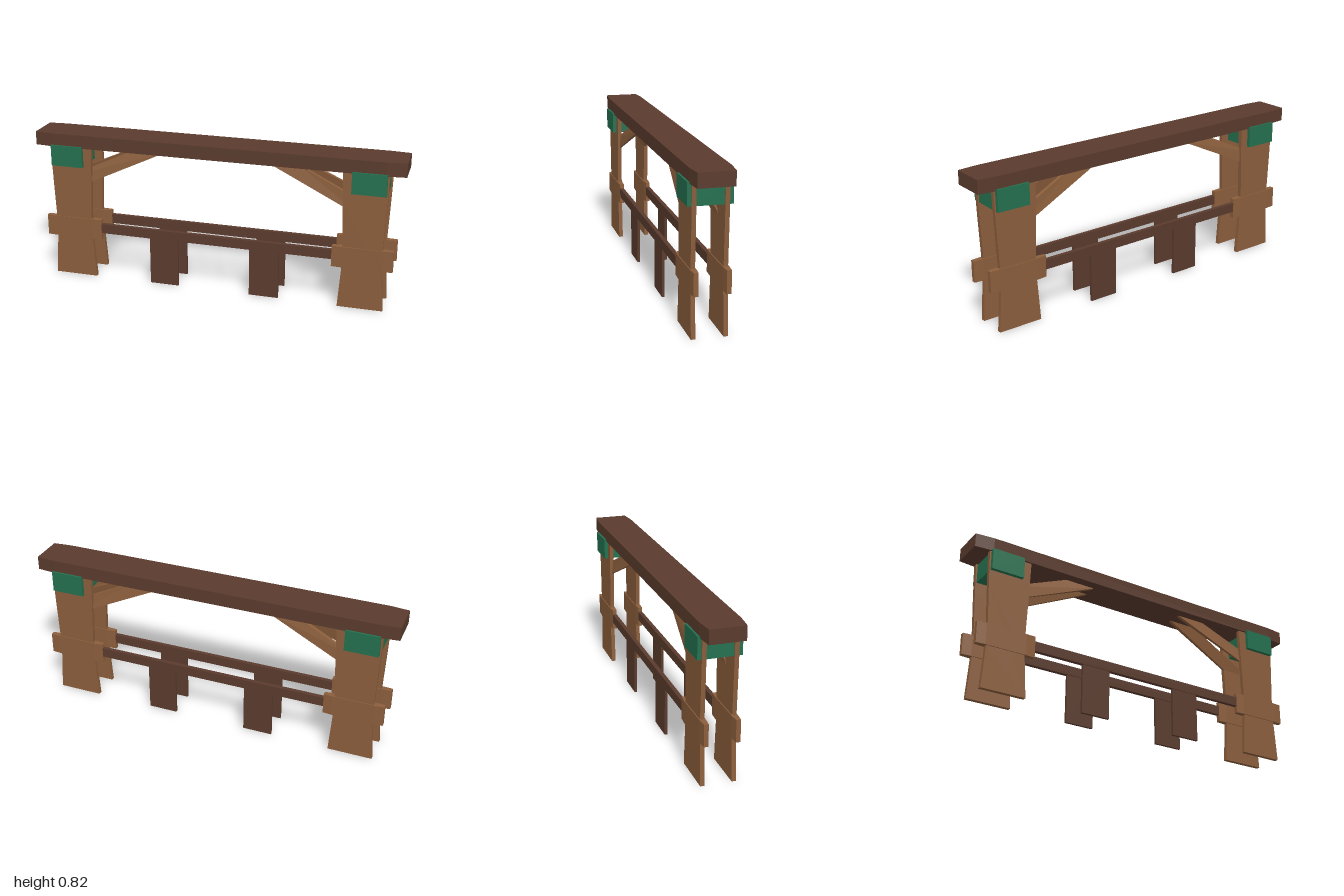
import * as THREE from 'three';

const material = (name, color) => {
  const m = new THREE.MeshStandardMaterial({ color });
  m.name = name;
  return m;
};

export function createModel() {
  const group = new THREE.Group();
  const lightWood = material('light wood', 0x8b5e3c);
  const darkWood = material('dark wood', 0x5a3b2d);
  const green = material('green paint', 0x24704f);

  const add = (name, geometry, mat, x = 0, y = 0, z = 0) => {
    const mesh = new THREE.Mesh(geometry, mat);
    mesh.name = name;
    mesh.position.set(x, y, z);
    group.add(mesh);
    return mesh;
  };

  const extrude = (points, depth) => new THREE.ExtrudeGeometry(
    new THREE.Shape(points.map(([x, y]) => new THREE.Vector2(x, y))),
    { depth, bevelEnabled: false });

  // Plank along x whose depth narrows towards both ends
  const taperedPlank = (length, height, depth, endDepth, taper) => {
    const l = length / 2, d = depth / 2, e = endDepth / 2, k = l - taper;
    const g = extrude([[-l, -e], [-k, -d], [k, -d], [l, -e], [l, e], [k, d], [-k, d], [-l, e]], height);
    return g.rotateX(-Math.PI / 2).translate(0, -height / 2, 0);
  };

  // Top beam
  add('topBeam', taperedPlank(2, 0.073, 0.2, 0.18, 0.1), darkWood, 0, 0.782, 0);

  // Waisted post, drawn around its own centre line
  const postSide = [[0.12, 0], [0.104, 0.23], [0.104, 0.36], [0.112, 0.56], [0.118, 0.75]];
  const postGeometry = extrude(
    [...postSide, ...postSide.map(([x, y]) => [-x, y]).reverse()], 0.022).translate(0, 0, -0.011);
  const crossPlankGeometry = taperedPlank(0.32, 0.115, 0.031, 0.023, 0.05);

  // Slanted brace for one side, leaning inwards as it rises
  const braceGeometry = (sx, sz) => {
    const outline = [[0.8, 0.505], [0.8, 0.585], [0.45, 0.746], [0.28, 0.746]]
      .map(([x, y]) => [sx * x, y]);
    const g = extrude(outline, 0.02);
    const p = g.attributes.position;
    for (let i = 0; i < p.count; i++) {
      const near = p.getZ(i) < 0.01;
      const z = 0.068 - 0.21 * (p.getY(i) - 0.555);
      const inner = sz > 0 ? near : !near;
      p.setZ(i, sz * (inner ? z : Math.min(z + 0.02, 0.088)));
    }
    g.computeVertexNormals();
    return g;
  };

  for (const sx of [-1, 1]) {
    // Painted block running through the pair of posts
    add('capBlock', new THREE.BoxGeometry(0.178, 0.115, 0.22), green, sx * 0.819, 0.697, 0);
    for (const sz of [-1, 1]) {
      add('post', postGeometry, lightWood, sx * 0.8, 0, sz * 0.079);
      add('crossPlank', crossPlankGeometry, lightWood, sx * 0.8, 0.283, sz * 0.079);
      add('brace', braceGeometry(sx, sz), lightWood);
      add('railSupport', new THREE.BoxGeometry(0.16, 0.27, 0.014), darkWood, sx * 0.28, 0.135, sz * 0.079);
    }
  }

  // Lower rails, front and back
  for (const sz of [-1, 1]) {
    add('rail', new THREE.BoxGeometry(1.4, 0.052, 0.022), darkWood, 0, 0.29, sz * 0.079);
  }
  return group;
}
